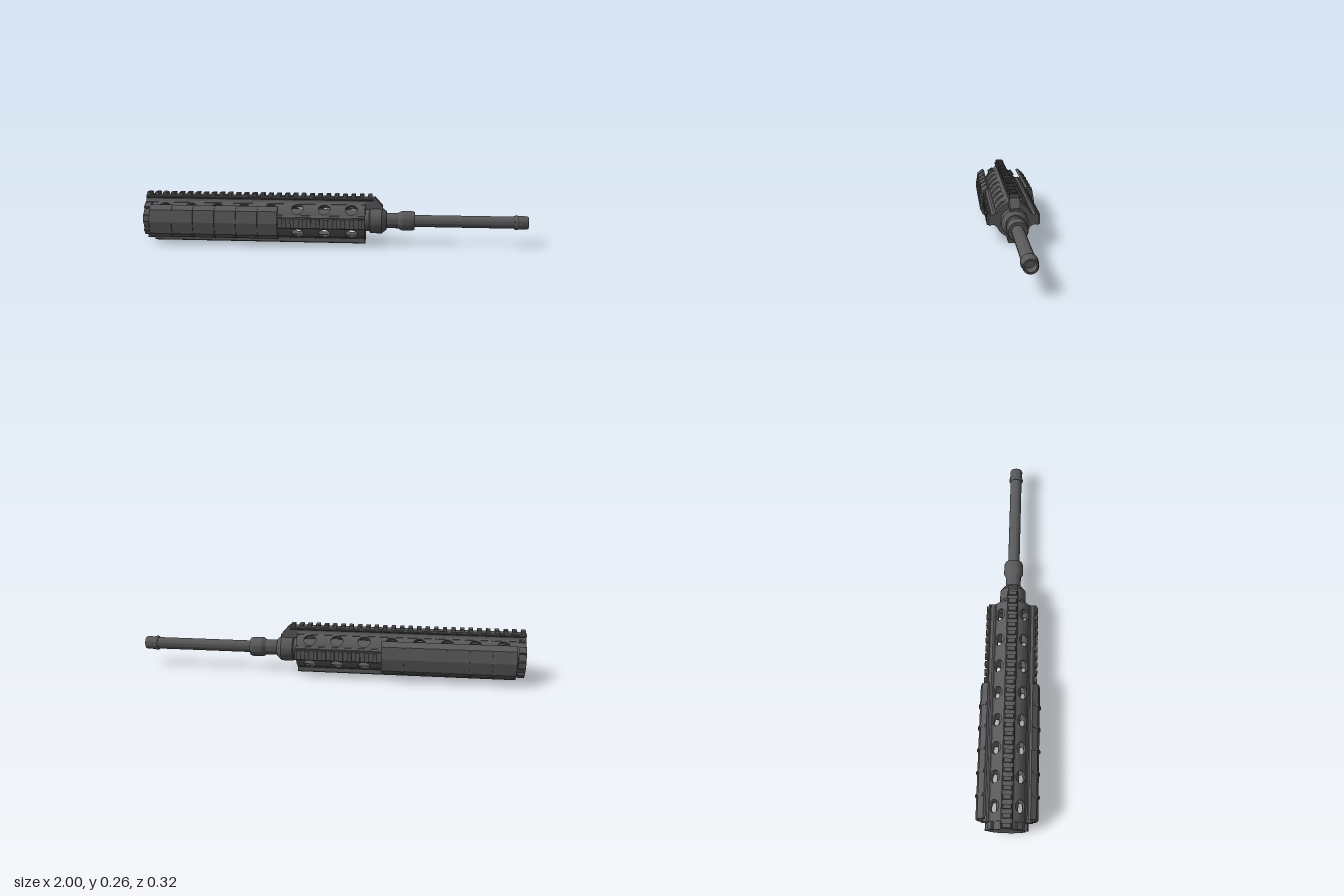
import * as THREE from 'three';
import { toCreasedNormals, mergeGeometries } from 'three/addons/utils/BufferGeometryUtils.js';

const gunmetal = new THREE.MeshStandardMaterial({ color: 0x59595b });
gunmetal.name = 'gunmetal';

function part(parent, name, geometry, angle = 0) {
  const mesh = new THREE.Mesh(geometry, gunmetal);
  mesh.name = name;
  mesh.rotation.x = angle;
  parent.add(mesh);
  return mesh;
}

// Turned part along x, from [x, radius] pairs.
function turned(points, sides = 32) {
  const g = new THREE.LatheGeometry(points.map(([x, r]) => new THREE.Vector2(r, x)), sides);
  return toCreasedNormals(g.rotateZ(-Math.PI / 2), 0.5);
}

// Cross-section of [width, height] pairs extruded along x; height points to +y.
function extrudeX(points, x0, x1) {
  const shape = new THREE.Shape(points.map(([w, h]) => new THREE.Vector2(w, h)));
  const g = new THREE.ExtrudeGeometry(shape, { depth: x1 - x0, bevelEnabled: false });
  return g.rotateY(Math.PI / 2).translate(x0, 0, 0);
}

const mirrored = (half) => [...half, ...half.map(([w, h]) => [-w, h]).reverse()];

// Curved tube panel with one round hole: rows run from the outer border,
// over the hole's edge, back to the inner border.
function panelCell(xMid, halfLength, halfAngle, holeRadius, outer, inner) {
  const g = new THREE.PlaneGeometry(1, 1, 40, 6);
  const rows = [[1, outer], [0.5, outer], [0, outer], [0, inner], [0.5, inner], [1, inner], [1, outer]];
  const p = g.attributes.position;
  for (let i = 0; i < p.count; i++) {
    const t = ((i % 41) / 40) * Math.PI * 2;
    const [k, r] = rows[Math.floor(i / 41)];
    const c = Math.cos(t), s = Math.sin(t), m = Math.max(Math.abs(c), Math.abs(s));
    const x = THREE.MathUtils.lerp(holeRadius * c, (halfLength * c) / m, k);
    const a = THREE.MathUtils.lerp((holeRadius * s) / outer, (halfAngle * s) / m, k);
    p.setXYZ(i, xMid + x, r * Math.cos(a), r * Math.sin(a));
  }
  return g;
}

// Row of rail teeth along x.
function teeth(x0, x1, h0, h1, halfWidth) {
  const list = [];
  const section = mirrored([[halfWidth, h0], [halfWidth, h1 - 0.004], [halfWidth - 0.004, h1]]);
  for (let x = x0; x + 0.02 <= x1 + 0.001; x += 0.0435) list.push(extrudeX(section, x, x + 0.021));
  return mergeGeometries(list);
}

export function createModel() {
  const model = new THREE.Group();
  model.name = 'railedHandguardAndBarrel';
  const axis = new THREE.Group();
  axis.name = 'axisAssembly';
  axis.position.y = 0.12;
  model.add(axis);

  const back = -0.96, front = 0.165, cells = 8, pitch = (front - back) / cells;

  // Vented tube: four curved panels between the rails
  const panel = [];
  for (let i = 0; i < cells; i++) {
    panel.push(panelCell(back + (i + 0.5) * pitch, pitch / 2, 0.49, 0.031, 0.092, 0.082));
  }
  const panelGeometry = toCreasedNormals(mergeGeometries(panel), 0.6);
  for (let q = 0; q < 4; q++) part(axis, 'ventedPanel', panelGeometry, Math.PI / 4 + (q * Math.PI) / 2);

  // Front cap and inner barrel sleeve
  part(axis, 'frontCap', turned([[0.15, 0], [0.15, 0.09], [front, 0.09], [front, 0]]));
  part(axis, 'innerSleeve', turned([[back, 0.054], [front, 0.054]]));

  // Side rails with teeth
  const neck = [[0.034, 0.076], [0.034, 0.09], [0.026, 0.098], [0.025, 0.113], [0.029, 0.117], [0.029, 0.121], [0.025, 0.126]];
  const railGeometry = extrudeX(mirrored(neck), back, front);
  const toothGeometry = teeth(back + 0.005, front, 0.12, 0.136, 0.027);
  for (const side of [1, -1]) {
    part(axis, 'sideRail', railGeometry, (side * Math.PI) / 2);
    part(axis, 'sideRailTeeth', toothGeometry, (side * Math.PI) / 2);
  }

  // Smooth bottom rail
  part(axis, 'bottomRail', extrudeX(mirrored([
    [0.036, 0.076], [0.036, 0.088], [0.029, 0.094], [0.029, 0.116], [0.026, 0.12],
  ]), back, front), Math.PI);

  // Top rail with a sloped nose
  const side = new THREE.Shape([
    [-1, 0.076], [0.255, 0.06], [0.255, 0.076], [0.215, 0.122], [-1, 0.122],
  ].map(([x, y]) => new THREE.Vector2(x, y)));
  const topBody = new THREE.ExtrudeGeometry(side, { depth: 0.05, bevelEnabled: false });
  part(axis, 'topRail', topBody.translate(0, 0, -0.025));
  part(axis, 'topRailLip', extrudeX(mirrored([
    [0.025, 0.106], [0.029, 0.111], [0.029, 0.116], [0.024, 0.122],
  ]), -1, 0.205));
  part(axis, 'topRailFoot', extrudeX(mirrored([
    [0.036, 0.076], [0.036, 0.086], [0.029, 0.092], [0.025, 0.1],
  ]), -1, front));
  part(axis, 'topRailTeeth', teeth(-0.996, 0.215, 0.118, 0.137, 0.023));

  // Angled rail covers with ribs
  const coverSection = (lift) => [
    [-0.085, 0.113 + lift], [-0.062, 0.142 + lift], [0, 0.152 + lift], [0.062, 0.142 + lift], [0.085, 0.113 + lift],
    [0.077, 0.102], [0.055, 0.131], [0, 0.141], [-0.055, 0.131], [-0.077, 0.102],
  ];
  const cover = [extrudeX(coverSection(0), -0.95, -0.28)];
  for (let i = 0; i < 5; i++) {
    const x = -0.837 + i * 0.112;
    cover.push(extrudeX(coverSection(0.006), x - 0.006, x + 0.006));
  }
  const coverGeometry = mergeGeometries(cover);
  for (const s of [1, -1]) part(axis, 'railCover', coverGeometry, (s * Math.PI) / 2);

  // Notched locking ring at the rear
  const ring = new THREE.Group();
  ring.name = 'lockingRing';
  ring.position.y = -0.006;
  axis.add(ring);
  part(ring, 'ringBody', turned([[-1, 0], [-1, 0.09], [-0.995, 0.093], [-0.955, 0.093], [-0.955, 0]]));
  const tab = extrudeX(mirrored([[0.019, 0.08], [0.019, 0.101], [0.016, 0.104]]), -0.998, -0.963);
  for (let i = 0; i < 8; i++) part(ring, 'ringTab', tab, THREE.MathUtils.degToRad(-8 + i * 45));

  // Collar and stepped barrel
  part(axis, 'collar', turned([
    [front, 0], [front, 0.056], [0.185, 0.056], [0.19, 0.068], [0.25, 0.068], [0.275, 0.048], [0.275, 0],
  ]));
  part(axis, 'gasBlock', turned([
    [0.27, 0.04], [0.335, 0.04], [0.355, 0.051], [0.405, 0.051], [0.42, 0.046], [0.42, 0],
  ]));
  part(axis, 'barrel', turned([
    [0.41, 0.031], [0.93, 0.031], [0.93, 0.034], [0.936, 0.038], [0.944, 0.038], [0.95, 0.034],
    [0.994, 0.034], [1, 0.031], [1, 0.024], [0.94, 0.024], [0.94, 0],
  ]));
  return model;
}
